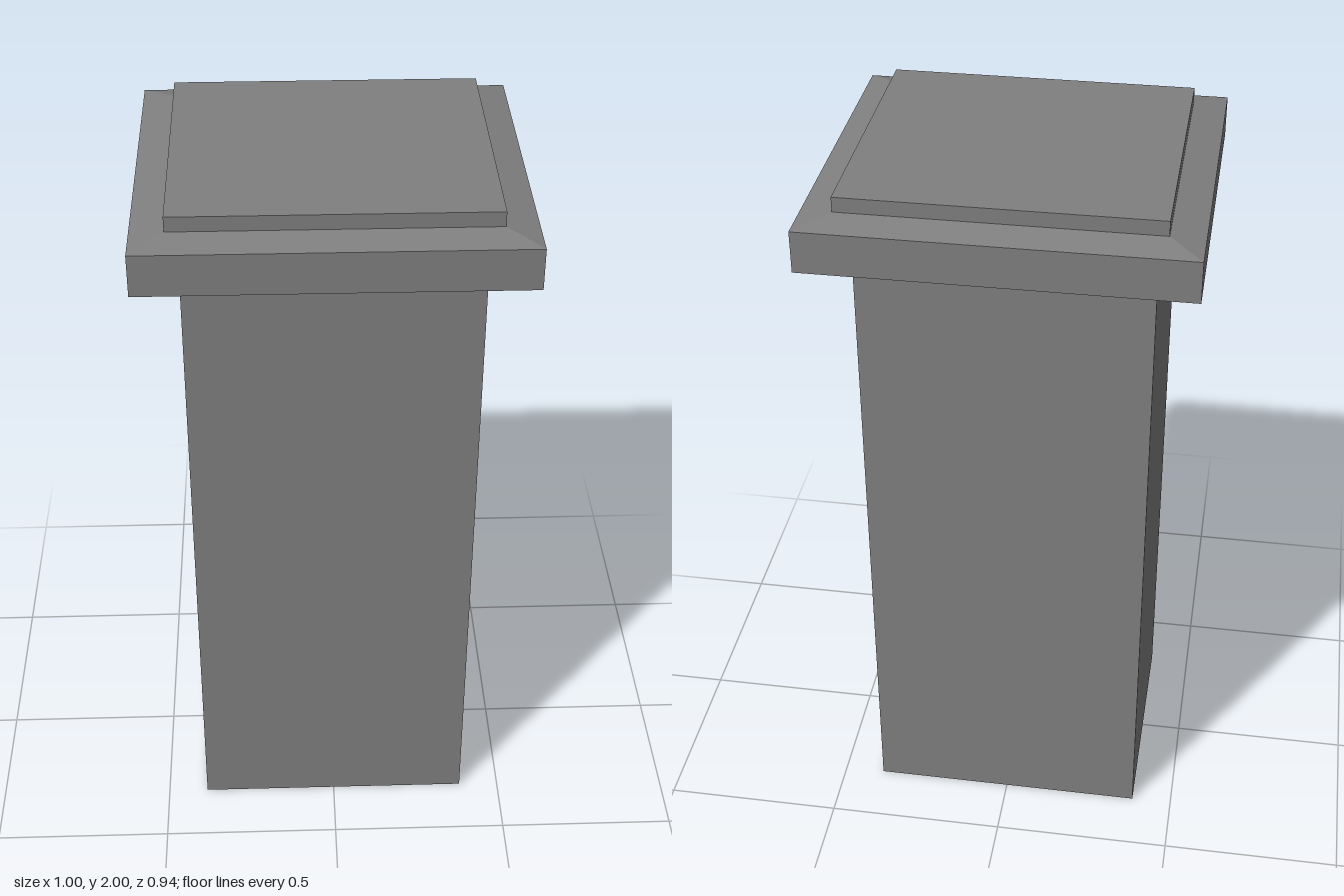
import * as THREE from 'three';

// Rectangular shell through sections [halfWidth, y, halfDepth], bottom to top
function rectLoft(sections, closeTop = false) {
  const pos = [];
  const ring = ([w, y, d]) => [[w, y, d], [w, y, -d], [-w, y, -d], [-w, y, d]];
  const quad = (a, b, c, d) => pos.push(...a, ...b, ...c, ...a, ...c, ...d);
  for (let i = 0; i < sections.length - 1; i++) {
    const lo = ring(sections[i]), hi = ring(sections[i + 1]);
    for (let k = 0; k < 4; k++) {
      const n = (k + 1) % 4;
      quad(lo[k], lo[n], hi[n], hi[k]);
    }
  }
  if (closeTop) quad(...ring(sections[sections.length - 1]));
  const geo = new THREE.BufferGeometry();
  geo.setAttribute('position', new THREE.Float32BufferAttribute(pos, 3));
  geo.computeVertexNormals(); // unshared corners keep every face flat
  return geo;
}

export function createModel() {
  const group = new THREE.Group();
  group.name = 'pillar';

  const stone = new THREE.MeshStandardMaterial({ color: 0x808080, side: THREE.DoubleSide });
  stone.name = 'grey stone';

  const add = (name, sections, closeTop) => {
    const mesh = new THREE.Mesh(rectLoft(sections, closeTop), stone);
    mesh.name = name;
    group.add(mesh);
  };

  // Outline where each part meets the next
  const foot = [0.385, 0, 0.325];
  const neck = [0.385, 1.773, 0.325];
  const bandBottom = [0.5, 1.83, 0.468];
  const bandTop = [0.5, 1.942, 0.468];
  const slabBottom = [0.412, 1.96, 0.386];
  const slabTop = [0.412, 2, 0.386];

  add('shaft', [foot, neck]); // hollow, open at the bottom
  add('capitalFlare', [neck, bandBottom]);
  add('capitalBand', [bandBottom, bandTop]);
  add('capitalSlope', [bandTop, slabBottom]);
  add('topSlab', [slabBottom, slabTop], true);

  return group;
}
